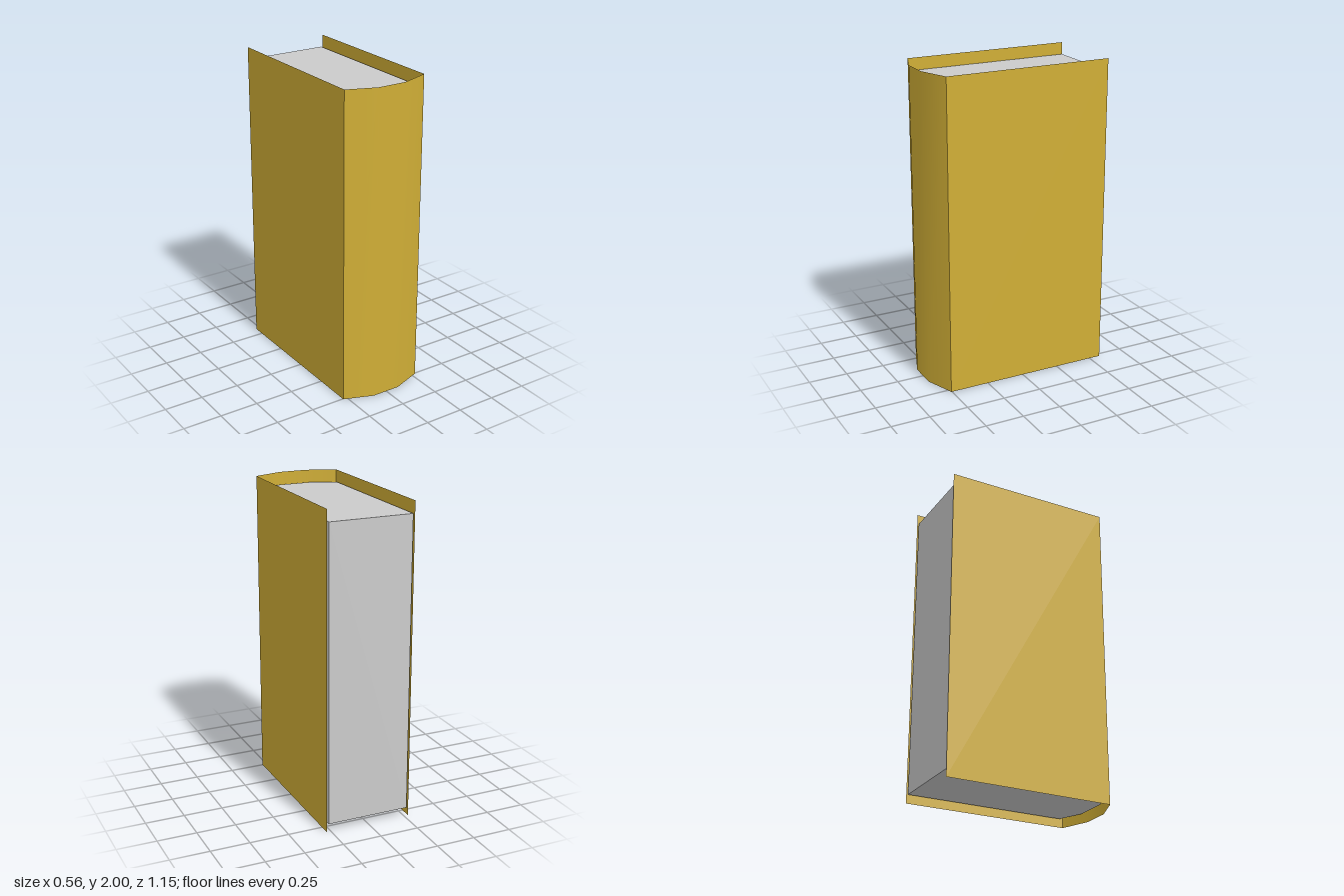
import * as THREE from 'three';

const HALF_WIDTH = 0.278, HEIGHT = 2, BACK = -0.575, HINGE = 0.505, FRONT = 0.575;

// Thin upright sheet following a list of [x, z] points
function sheet(name, points, material) {
  const geo = new THREE.PlaneGeometry(1, HEIGHT, points.length - 1, 1);
  const pos = geo.attributes.position;
  for (let i = 0; i < pos.count; i++) {
    const [x, z] = points[i % points.length];
    pos.setXYZ(i, x, pos.getY(i) + HEIGHT / 2, z);
  }
  geo.computeVertexNormals();
  const mesh = new THREE.Mesh(geo, material);
  mesh.name = name;
  return mesh;
}

export function createModel() {
  const book = new THREE.Group();
  book.name = 'book';
  const gold = new THREE.MeshStandardMaterial({ color: 0xd0ae36, side: THREE.DoubleSide });
  const grey = new THREE.MeshStandardMaterial({ color: 0xcccccc });

  // Flat cover boards and the softly rounded spine
  book.add(
    sheet('rightCover', [[-HALF_WIDTH, BACK], [-HALF_WIDTH, HINGE]], gold),
    sheet('spine', [[-HALF_WIDTH, HINGE], [-0.095, FRONT], [0.09, FRONT], [HALF_WIDTH, HINGE]], gold),
    sheet('leftCover', [[HALF_WIDTH, HINGE], [HALF_WIDTH, BACK]], gold)
  );

  // Page block, set in from the cover at top and bottom; outline is in (x, -z)
  const outline = [
    [-0.269, -0.57], [-0.269, 0.43], [-0.266, 0.477], [-0.113, 0.541],
    [0.11, 0.541], [0.26, 0.477], [0.264, 0.43], [0.264, -0.57],
  ].map(([x, z]) => new THREE.Vector2(x, -z));
  const pageGeo = new THREE.ExtrudeGeometry(new THREE.Shape(outline), { depth: 1.872, bevelEnabled: false });
  pageGeo.rotateX(-Math.PI / 2).translate(0, 0.052, 0);
  const pages = new THREE.Mesh(pageGeo, grey);
  pages.name = 'pages';
  book.add(pages);
  return book;
}
